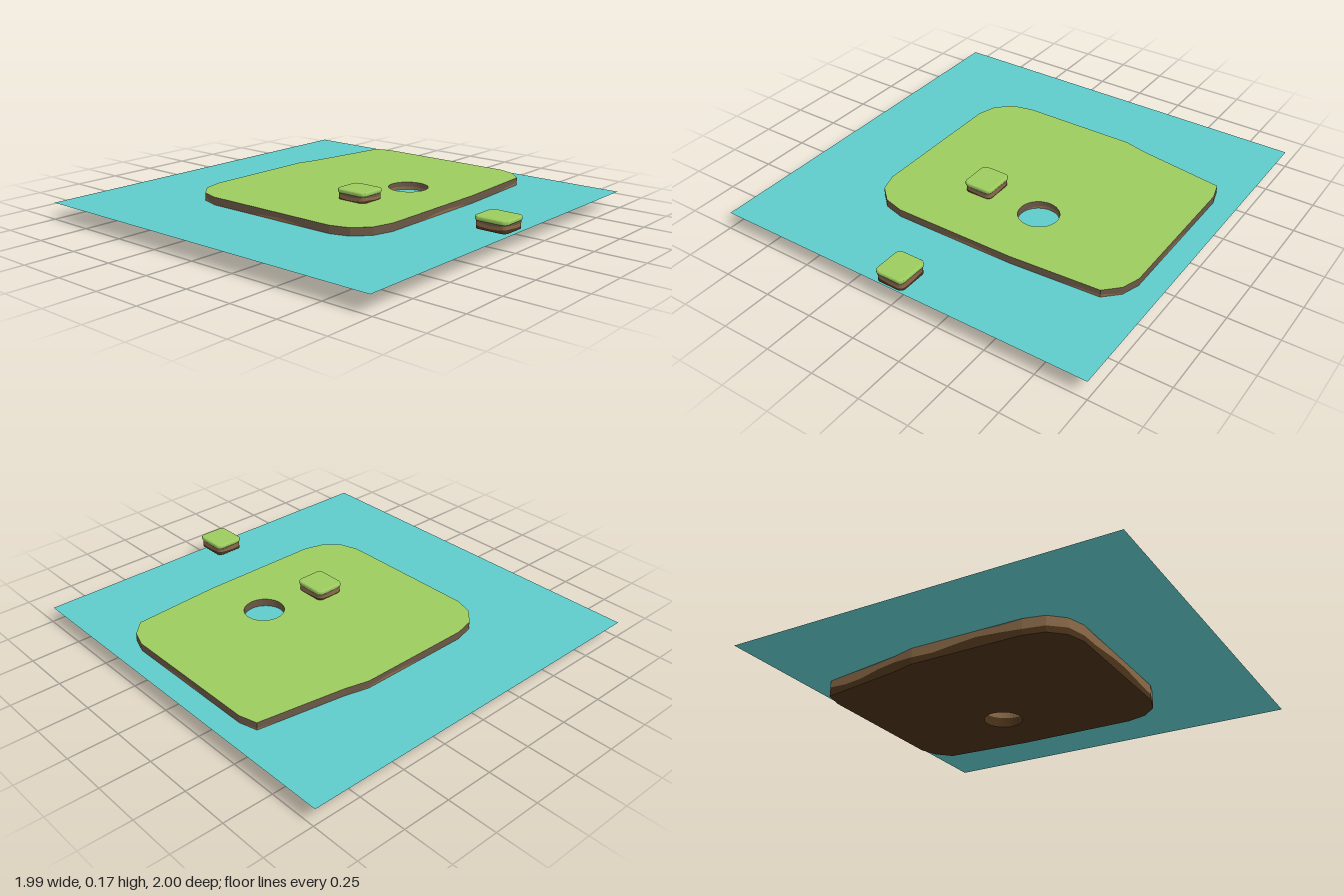
import * as THREE from 'three';

const COLORS = { water: 0x5fcaca, grass: 0x9ccb5e, topsoil: 0x6b5847, clay: 0x8b6a49, deepSoil: 0x4b331a };

function addMesh(group, name, geometry, color, double = false) {
  const side = double ? THREE.DoubleSide : THREE.FrontSide;
  const mesh = new THREE.Mesh(geometry, new THREE.MeshStandardMaterial({ color, side }));
  mesh.name = name;
  group.add(mesh);
  return mesh;
}

// Split every edge of a closed [x, z] loop into pieces no longer than step
function subdivide(loop, step) {
  return loop.flatMap(([x, z], i) => {
    const [nx, nz] = loop[(i + 1) % loop.length];
    const n = Math.max(1, Math.round(Math.hypot(nx - x, nz - z) / step));
    return Array.from({ length: n }, (_, k) => [x + (nx - x) * k / n, z + (nz - z) * k / n]);
  });
}

// Wall strip around a loop, between two heights given as functions of (x, z)
function wallStrip(loop, low, high) {
  const pos = [];
  loop.forEach(([ax, az], i) => {
    const [bx, bz] = loop[(i + 1) % loop.length];
    const a0 = [ax, low(ax, az), az], a1 = [ax, high(ax, az), az];
    const b0 = [bx, low(bx, bz), bz], b1 = [bx, high(bx, bz), bz];
    pos.push(...a0, ...a1, ...b1, ...a0, ...b1, ...b0);
  });
  const g = new THREE.BufferGeometry();
  g.setAttribute('position', new THREE.Float32BufferAttribute(pos, 3));
  g.computeVertexNormals();
  return g;
}

// Three soil layers with wavy borders
function addSoil(group, name, loop, height, wave) {
  const bottom = () => 0;
  const top = () => height;
  const lower = (x, z) => height * (0.34 + 0.09 * Math.sin(wave * (x * 1.3 + z) + 1.2));
  const upper = (x, z) => height * (0.71 + 0.1 * Math.sin(wave * (x - z * 1.2) + 0.4));
  addMesh(group, name + 'DeepSoil', wallStrip(loop, bottom, lower), COLORS.deepSoil);
  addMesh(group, name + 'Clay', wallStrip(loop, lower, upper), COLORS.clay);
  addMesh(group, name + 'Topsoil', wallStrip(loop, upper, top), COLORS.topsoil);
}

const toShape = loop => new THREE.Shape(loop.map(([x, z]) => new THREE.Vector2(x, -z)));

// Horizontal face at height y, facing up or down
function flatFace(shape, y, up) {
  const g = new THREE.ShapeGeometry(shape);
  g.rotateX(-Math.PI / 2);
  if (!up) {
    g.index.array.reverse();
    g.computeVertexNormals();
  }
  return g.translate(0, y, 0);
}

function roundedRect(w, d, r, n = 4) {
  const loop = [];
  [[1, 1], [-1, 1], [-1, -1], [1, -1]].forEach(([sx, sz], q) => {
    for (let k = 0; k <= n; k++) {
      const t = (q + k / n) * Math.PI / 2;
      loop.push([sx * (w / 2 - r) + r * Math.cos(t), sz * (d / 2 - r) + r * Math.sin(t)]);
    }
  });
  return loop;
}

// Small floating block: layered soil under a rounded grass cap
function createBlock(name, x, y, z) {
  const block = new THREE.Group();
  block.name = name;
  const body = roundedRect(0.146, 0.164, 0.024);
  addSoil(block, 'block', subdivide(body, 0.03), 0.042, 28);
  addMesh(block, 'blockUnderside', flatFace(toShape(body), 0, false), COLORS.deepSoil);
  const cap = new THREE.ExtrudeGeometry(toShape(roundedRect(0.14, 0.158, 0.02)), {
    depth: 0.006, bevelThickness: 0.008, bevelSize: 0.008, bevelSegments: 3,
  });
  cap.rotateX(-Math.PI / 2);
  addMesh(block, 'blockGrass', cap, COLORS.grass).position.y = 0.046;
  block.position.set(x, y, z);
  return block;
}

export function createModel() {
  const model = new THREE.Group();
  model.name = 'islandScene';

  // Water sheet
  const water = new THREE.PlaneGeometry(1.987, 1.987).rotateX(-Math.PI / 2);
  addMesh(model, 'water', water, COLORS.water, true).position.set(-0.003, 0.083, -0.007);

  // Island with a round pond hole
  const island = new THREE.Group();
  island.name = 'island';
  const outline = [
    [-0.485, -0.475], [-0.41, -0.545], [-0.305, -0.57], [0.29, -0.57], [0.41, -0.54], [0.85, -0.47],
    [0.875, -0.38], [0.875, 0.365], [0.845, 0.455], [0.775, 0.525], [0.32, 0.553], [-0.305, 0.553],
    [-0.41, 0.525], [-0.485, 0.455], [-0.515, 0.36], [-0.515, -0.38],
  ];
  const hole = Array.from({ length: 32 }, (_, i) => {
    const t = i / 32 * Math.PI * 2;
    return [0.255 + 0.1 * Math.cos(t), 0.213 - 0.1 * Math.sin(t)];
  });
  const ground = toShape(outline);
  ground.holes.push(new THREE.Path(hole.map(([x, z]) => new THREE.Vector2(x, -z))));
  addMesh(island, 'islandGrass', flatFace(ground, 0.122, true), COLORS.grass);
  addMesh(island, 'islandUnderside', flatFace(ground, 0, false), COLORS.deepSoil);
  addSoil(island, 'shore', subdivide(outline, 0.11), 0.122, 9);
  addSoil(island, 'pond', hole, 0.122, 9);
  model.add(island);

  // Blocks
  model.add(createBlock('islandBlock', -0.075, 0.115, 0.17));
  model.add(createBlock('frontBlock', -0.008, 0.102, 0.912));
  return model;
}
